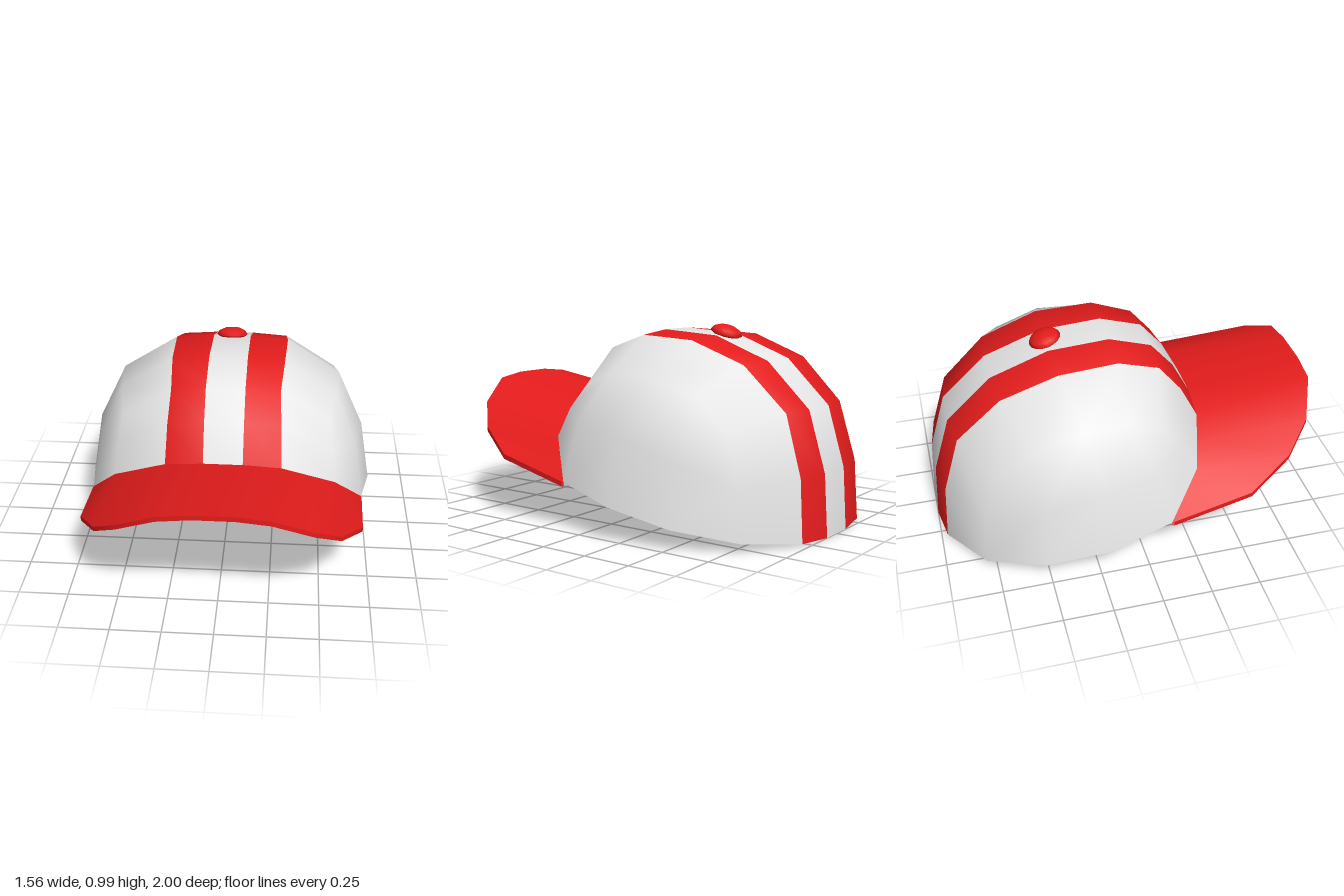
import * as THREE from 'three';
import { mergeVertices, toCreasedNormals } from 'three/addons/utils/BufferGeometryUtils.js';

const red = new THREE.MeshStandardMaterial({ color: 0xe41c1c, side: THREE.DoubleSide });
red.name = 'red';
const white = new THREE.MeshStandardMaterial({ color: 0xe6e6e6 });
white.name = 'white';

// Join patches into one smooth surface. A patch is a list of equally long point
// rows; stripes lists the strips between rows that take the second material.
function skin(patches, flip, stripes = []) {
  const points = [], index = [];
  const geo = new THREE.BufferGeometry();
  patches.forEach((rows, p) => {
    const n = rows[0].length, base = points.length;
    points.push(...rows.flat());
    for (let i = 0; i < rows.length - 1; i++) {
      geo.addGroup(index.length, (n - 1) * 6, p === 0 && stripes.includes(i) ? 1 : 0);
      for (let j = 0; j < n - 1; j++) {
        const a = base + i * n + j, b = a + n, c = a + 1, d = b + 1;
        if (flip) index.push(a, c, b, b, c, d);
        else index.push(a, b, c, b, d, c);
      }
    }
  });
  geo.setAttribute('position', new THREE.Float32BufferAttribute(points.flat(), 3));
  geo.setIndex(index);
  const merged = mergeVertices(geo);
  merged.computeVertexNormals();
  return merged;
}

const mirrored = (rows) => rows.map((row) => row.map(([x, y, z]) => [-x, y, z])).reverse();

// Crown arch from front to back: fraction along the rim chord, height above it, bow in x
const ARCH = [[1, 0, 0], [0.931, 0.384, -0.3], [0.845, 0.716, -0.8], [0.686, 1, 0],
  [0.462, 1.19, 0.5], [0.245, 1.21, 0], [0.079, 0.99, -0.8], [0.014, 0.53, -0.3], [0, 0, 0]];

// Each arch: x, bow, front z, front y, back z, back y, height
const COLUMNS = [
  [0.1, 0, 0.385, 0.57, -1, 0, 0.57],
  [0.293, 0.02, 0.37, 0.55, -0.97, 0.01, 0.563],
  [0.567, 0.04, 0.29, 0.43, -0.8, 0.045, 0.46],
];

// Inner points of the rounded side panel, front to back
const SIDE_MIDDLE = [[0.675, 0.53, 0.06], [0.722, 0.5, -0.22], [0.67, 0.4, -0.5]];
const SIDE_RIM = [[0.722, 0.24, 0.12], [0.778, 0.17, -0.2], [0.724, 0.1, -0.52]];

// Shell of the crown; inset draws everything but the rim towards the middle
function shellPatches(inset) {
  const pull = ([x, y, z]) =>
    [x * (1 - inset), y + (0.2 - y) * inset, z + (-0.3 - z) * inset];
  const arches = COLUMNS.map(([x, bow, zf, yf, zb, yb, h]) =>
    ARCH.map(([u, v, w]) => {
      const p = [x + bow * w, yb + (yf - yb) * u + h * v, zb + (zf - zb) * u];
      return v === 0 ? p : pull(p);
    }));
  const edge = arches[2];
  const side = [
    edge.slice(2, 7),
    [edge[1], ...SIDE_MIDDLE.map(pull), edge[7]],
    [edge[0], ...SIDE_RIM, edge[8]],
  ];
  return [[...mirrored(arches), ...arches], side, mirrored(side)];
}

// Brim: inner edge along the crown, outer edge along the front
const INNER = [[0.1, 0.57, 0.385], [0.293, 0.55, 0.37], [0.43, 0.49, 0.33],
  [0.567, 0.43, 0.29], [0.645, 0.335, 0.205], [0.722, 0.24, 0.12]];
const OUTER = [[0.1, 0.675, 0.998], [0.26, 0.655, 0.992], [0.46, 0.545, 0.91],
  [0.59, 0.435, 0.775], [0.705, 0.33, 0.54], [0.724, 0.242, 0.13]];

function brimRows() {
  const half = INNER.map((p, i) => {
    const q = OUTER[i];
    const drop = 0.05 - 0.006 * i;
    return [p, q, [q[0], q[1] - 0.025, q[2]], [p[0], p[1] - drop, p[2]], p];
  });
  return [...mirrored(half), ...half];
}

// Domed button profile, bottom to top
const BUTTON = [[0, -0.01], [0.07, -0.008], [0.083, 0.002], [0.07, 0.022], [0.04, 0.036], [0, 0.041]];

export function createModel() {
  const cap = new THREE.Group();
  cap.name = 'cap';
  const add = (name, geometry, material) => {
    const mesh = new THREE.Mesh(geometry, material);
    mesh.name = name;
    cap.add(mesh);
    return mesh;
  };

  // Crown with a stripe either side of the middle panel, and its padded lining
  add('crown', skin(shellPatches(0), false, [1, 3]), [white, red]);
  add('lining', skin(shellPatches(0.13), true), red);

  // Curved brim with thickness
  add('brim', toCreasedNormals(skin([brimRows()], true), 0.6), red);

  // Button on top, tilted with the slope of the crown
  const profile = BUTTON.map(([x, y]) => new THREE.Vector2(x, y));
  const button = add('button', new THREE.LatheGeometry(profile, 16), red);
  button.position.set(0, 0.949, -0.357);
  button.rotation.x = -0.28;

  return cap;
}
